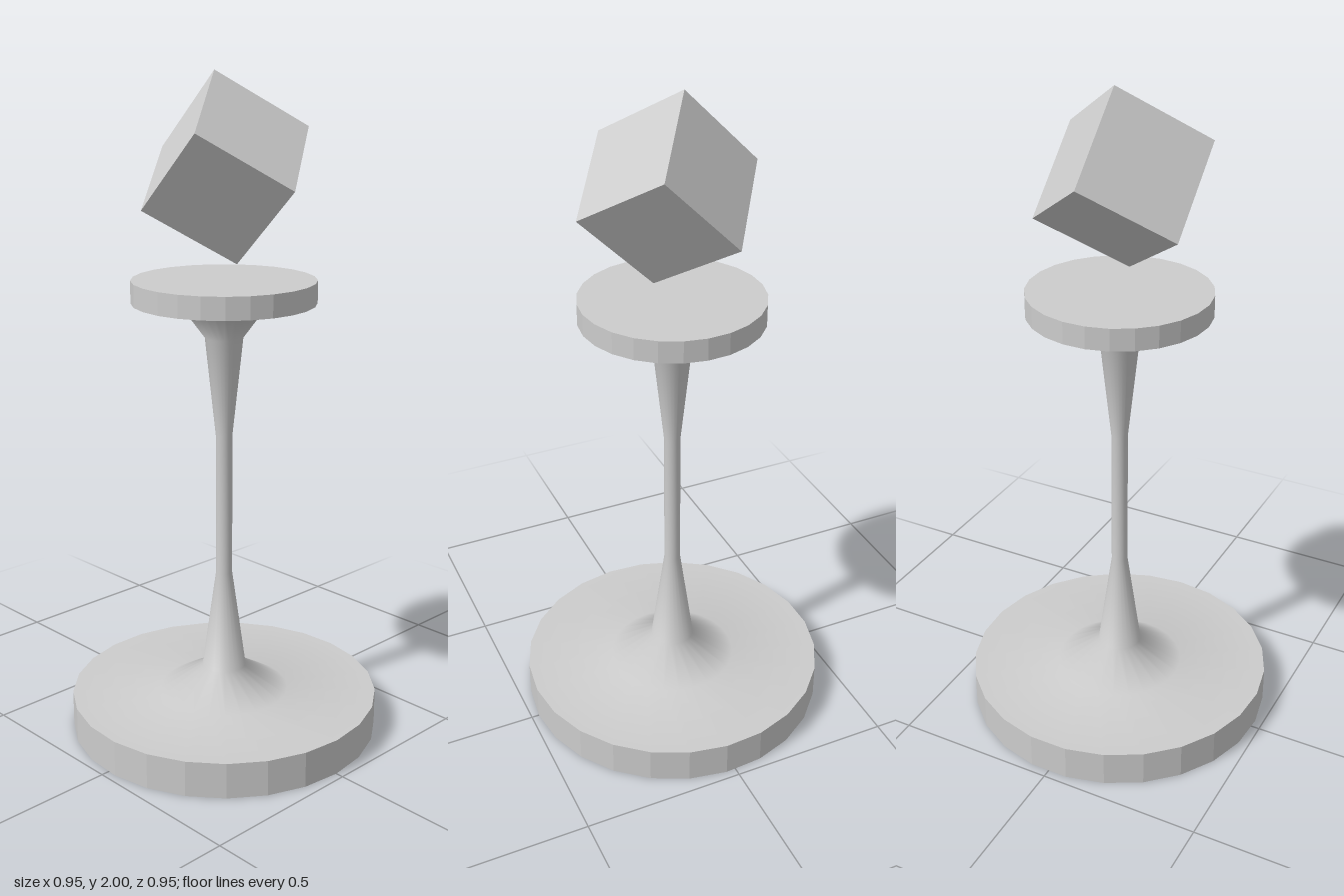
import * as THREE from 'three';

const SIDES = 25;

export function createModel() {
  const model = new THREE.Group();
  const grey = new THREE.MeshStandardMaterial({ color: 0xcccccc });
  grey.name = 'lightGrey';
  const greyFaceted = new THREE.MeshStandardMaterial({ color: 0xcccccc, flatShading: true });
  greyFaceted.name = 'lightGreyFaceted';

  function add(name, geometry, material, y = 0) {
    const mesh = new THREE.Mesh(geometry, material);
    mesh.name = name;
    mesh.position.y = y;
    model.add(mesh);
    return mesh;
  }

  // Faceted band around a disc, one corner pointing to +x
  const rim = (r, h) => new THREE.CylinderGeometry(r, r, h, SIDES, 1, true).rotateY(Math.PI / 2);
  // Flat disc facing up (1) or down (-1)
  const disc = (r, dir) => new THREE.CircleGeometry(r, SIDES).rotateX(-dir * Math.PI / 2);

  // Base
  add('baseRim', rim(0.476, 0.11), greyFaceted, 0.055);
  add('baseBottom', disc(0.476, -1), greyFaceted);

  // Stem, flowing smoothly into the base top and the underside of the plate
  const profile = [
    [0.476, 0.11], [0.2, 0.111], [0.068, 0.19], [0.025, 0.5],
    [0.025, 0.94], [0.057, 1.24], [0.134, 1.344], [0.273, 1.345],
  ].map(([r, y]) => new THREE.Vector2(r, y));
  add('stem', new THREE.LatheGeometry(profile, SIDES).rotateY(Math.PI / 2), grey);

  // Top plate
  add('plateRim', rim(0.273, 0.067), greyFaceted, 1.3785);
  add('plateTop', disc(0.273, 1), greyFaceted, 1.412);

  // Floating cube, tipped about x and then z
  const cube = add('cube', new THREE.BoxGeometry(0.316, 0.316, 0.316), greyFaceted);
  cube.position.set(0.01, 1.733, 0.003);
  cube.rotation.set(Math.PI / 4, 0, Math.PI / 4, 'ZYX');

  return model;
}
